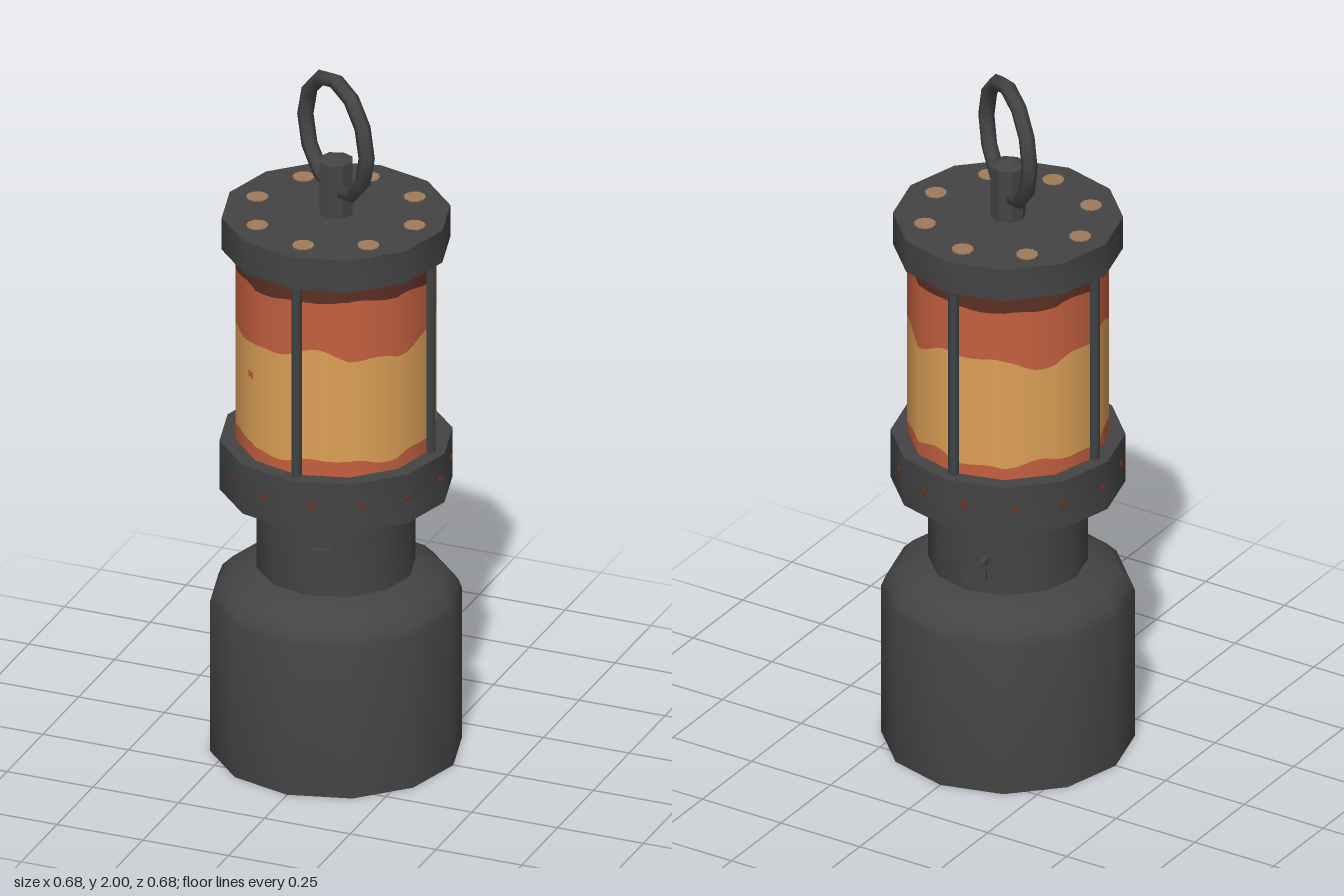
import * as THREE from 'three';
import { toCreasedNormals } from 'three/addons/utils/BufferGeometryUtils.js';

const SIDES = 12;
const TAU = Math.PI * 2;
const paint = (name, color) => {
  const m = new THREE.MeshStandardMaterial({ color });
  m.name = name;
  return m;
};

export function createModel() {
  const iron = paint('dark iron', 0x444444);
  const steel = paint('rod steel', 0x3f4345);
  const amber = paint('amber glass', 0xdca056);
  const rust = paint('rust red glass', 0xc4603f);
  const soot = paint('sooty glass', 0x5c3024);
  const brass = paint('brown vent', 0xa07c5a);
  const rivetRed = paint('rivet red', 0x74301f);

  const lantern = new THREE.Group();
  lantern.name = 'lantern';

  const add = (name, geometry, material, parent = lantern) => {
    const mesh = new THREE.Mesh(geometry, material);
    mesh.name = name;
    parent.add(mesh);
    return mesh;
  };
  const turned = (name, profile, sides = SIDES) => {
    const points = profile.map(([r, y]) => new THREE.Vector2(r, y));
    return add(name, toCreasedNormals(new THREE.LatheGeometry(points, sides), 0.75), iron);
  };

  // Turned body parts
  turned('fuelTank', [[0, 0], [0.342, 0], [0.342, 0.445], [0.33, 0.475], [0.3, 0.505], [0.215, 0.54], [0, 0.54]]);
  turned('neck', [[0.215, 0.53], [0.215, 0.79]]);
  turned('collar', [[0, 0.78], [0.316, 0.78], [0.316, 0.925], [0, 0.925]]);
  turned('cap', [[0, 1.495], [0.31, 1.495], [0.31, 1.59], [0, 1.59]]);
  turned('post', [[0.048, 1.585], [0.048, 1.745], [0, 1.765]], 8);

  // Glass: stacked bands with wavy borders on a twelve-sided cylinder
  const facetRadius = (r, a) => {
    const step = TAU / SIDES;
    const local = ((a % step) + step) % step - step / 2;
    return r * Math.cos(step / 2) / Math.cos(local);
  };
  const band = (name, material, low, high, r = 0.272, from = 0, to = TAU, n = 96) => {
    const positions = [], normals = [], index = [];
    for (let i = 0; i <= n; i++) {
      const a = from + (to - from) * i / n;
      const s = Math.sin(a), c = Math.cos(a), d = facetRadius(r, a);
      positions.push(d * s, low(a), d * c, d * s, high(a), d * c);
      normals.push(s, 0, c, s, 0, c);
      const k = i * 2;
      if (i < n) index.push(k, k + 2, k + 1, k + 1, k + 2, k + 3);
    }
    const g = new THREE.BufferGeometry();
    g.setAttribute('position', new THREE.Float32BufferAttribute(positions, 3));
    g.setAttribute('normal', new THREE.Float32BufferAttribute(normals, 3));
    g.setIndex(index);
    add(name, g, material);
  };
  const level = y => () => y;
  const lowWave = a => 0.965 + 0.008 * Math.sin(5 * a) + 0.005 * Math.sin(11 * a + 1);
  const midWave = a => 1.276 + 0.016 * Math.sin(4 * a + 0.9) + 0.009 * Math.sin(9 * a);
  const topWave = a => 1.438 + 0.006 * Math.sin(3 * a) + 0.004 * Math.sin(10 * a + 2);
  band('glassBottom', rust, level(0.92), lowWave);
  band('glassMiddle', amber, lowWave, midWave);
  band('glassUpper', rust, midWave, topWave);
  band('glassTop', soot, topWave, level(1.5));
  band('glassFleck', rust, level(1.16), level(1.18), 0.274, -0.69, -0.57, 2);

  // Four guard rods
  for (let i = 0; i < 4; i++) {
    const a = i * TAU / 4;
    const rod = add('guardRod', new THREE.CylinderGeometry(0.015, 0.015, 0.6, 8), steel);
    rod.position.set(0.275 * Math.sin(a), 1.21, 0.275 * Math.cos(a));
  }

  // Eight vent discs on the cap
  for (let i = 0; i < 8; i++) {
    const a = i * TAU / 8;
    const vent = add('ventDisc', new THREE.CylinderGeometry(0.03, 0.03, 0.006, 10), brass);
    vent.position.set(0.229 * Math.sin(a), 1.59, 0.229 * Math.cos(a));
  }

  // Small rivets round the collar
  for (let i = 0; i < 14; i++) {
    const a = 0.17 + i * TAU / 14;
    const rivet = add('rivet', new THREE.CylinderGeometry(0.01, 0.01, 0.008, 6).rotateX(Math.PI / 2), rivetRed);
    const r = facetRadius(0.316, a);
    rivet.position.set(r * Math.sin(a), 0.855, r * Math.cos(a));
    rivet.rotation.y = (Math.floor(a / (TAU / SIDES)) + 0.5) * TAU / SIDES;
  }

  // Knobs on stems, pointing out from the neck
  const knob = (name, angle, y, radius, inner, outer, bevel) => {
    const g = new THREE.Group();
    g.name = name;
    g.position.y = y;
    g.rotation.y = angle;
    const stem = add('knobStem', new THREE.CylinderGeometry(0.013, 0.013, inner - 0.19, 8).rotateX(Math.PI / 2), iron, g);
    stem.position.z = (inner + 0.19) / 2;
    const disc = new THREE.CylinderGeometry(radius, radius * bevel, outer - inner, 8)
      .rotateY(Math.PI / 8).rotateX(Math.PI / 2);
    add('knobDisc', toCreasedNormals(disc, 0.5), iron, g).position.z = (inner + outer) / 2;
    lantern.add(g);
  };
  knob('wickKnob', Math.PI / 12, 0.655, 0.071, 0.277, 0.301, 0.95);
  knob('fillerKnob', Math.PI * 13 / 12, 0.645, 0.037, 0.28, 0.312, 0.8);

  // Carrying ring through the post
  const ring = add('carryRing', new THREE.TorusGeometry(0.163, 0.022, 6, 12), iron);
  ring.position.y = 1.815;
  ring.rotation.y = -0.645;

  return lantern;
}
